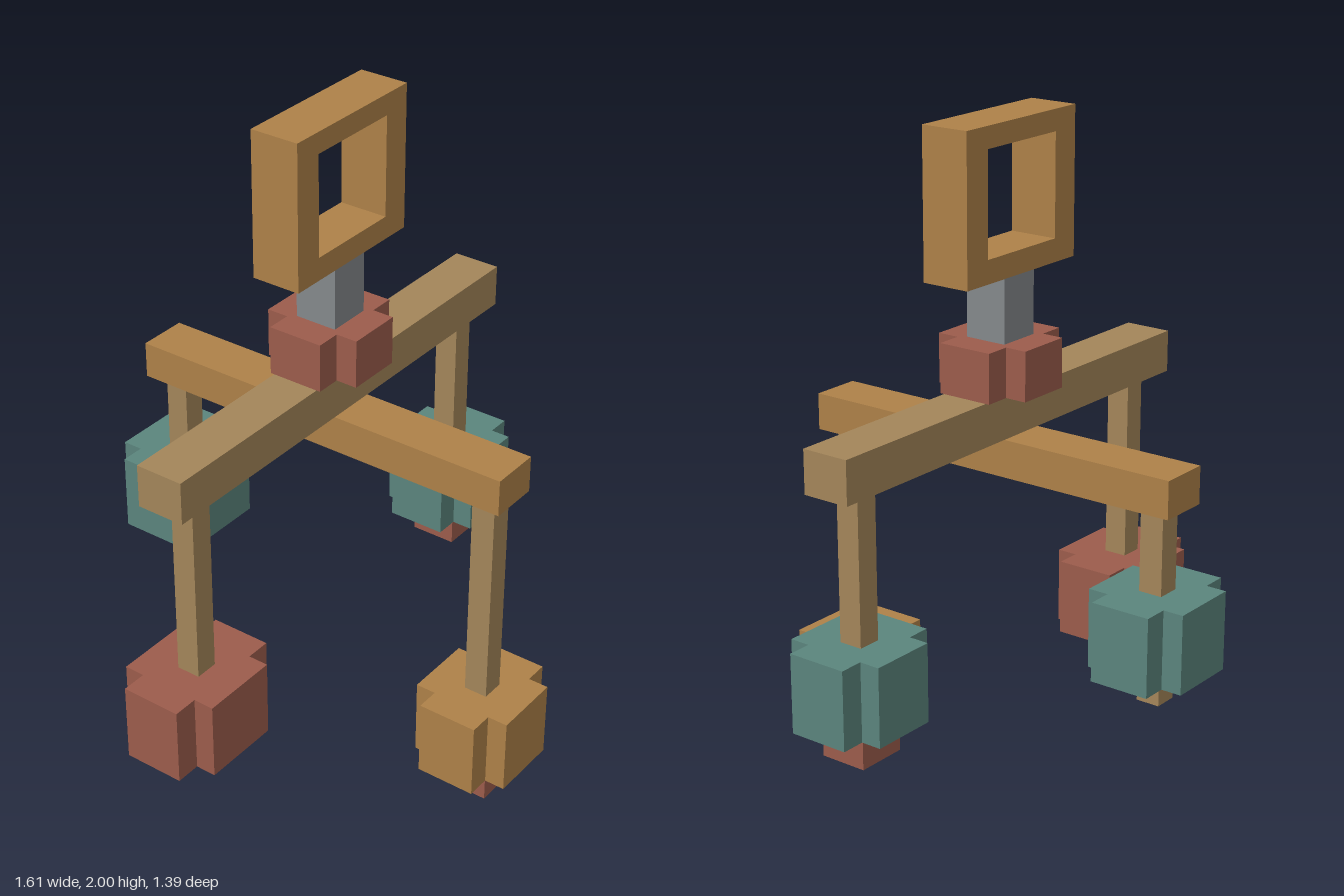
import * as THREE from 'three';

const flat = (name, color) => {
  const m = new THREE.MeshStandardMaterial({ color });
  m.name = name;
  return m;
};

export function createModel() {
  const ochre = flat('ochre', 0xae8148);
  const wood = flat('wood', 0xa4865a);
  const red = flat('brick red', 0x9c5c4c);
  const teal = flat('teal', 0x5b857d);
  const grey = flat('grey', 0x85898c);

  const model = new THREE.Group();
  model.name = 'hangingMobile';
  const CX = 0.007; // shared centre line

  const add = (parent, name, geometry, material, x, y, z) => {
    const mesh = new THREE.Mesh(geometry, material);
    mesh.name = name;
    mesh.position.set(x, y, z);
    parent.add(mesh);
  };

  // Box standing between two heights
  const box = (parent, name, material, x, z, w, d, y0, y1) =>
    add(parent, name, new THREE.BoxGeometry(w, y1 - y0, d), material, x, (y0 + y1) / 2, z);

  // Upright prism with a plus-shaped outline: w, d overall, iw, id the arm widths
  const plus = (parent, name, material, x, z, w, d, iw, id, y0, y1) => {
    const [a, b, c, e] = [w / 2, d / 2, iw / 2, id / 2];
    const outline = [
      [a, -e], [a, e], [c, e], [c, b], [-c, b], [-c, e],
      [-a, e], [-a, -e], [-c, -e], [-c, -b], [c, -b], [c, -e],
    ].map(([px, py]) => new THREE.Vector2(px, py));
    const geometry = new THREE.ExtrudeGeometry(new THREE.Shape(outline), { depth: y1 - y0, bevelEnabled: false });
    geometry.rotateX(-Math.PI / 2);
    add(parent, name, geometry, material, x, y0, z);
  };

  // Square hanging ring
  const rect = (path, x0, y0, x1, y1) =>
    path.moveTo(x0, y0).lineTo(x1, y0).lineTo(x1, y1).lineTo(x0, y1).closePath();
  const ringShape = rect(new THREE.Shape(), -0.241, 1.57, 0.241, 2);
  ringShape.holes.push(rect(new THREE.Path(), -0.151, 1.638, 0.151, 1.938));
  const ring = new THREE.ExtrudeGeometry(ringShape, { depth: 0.15, bevelEnabled: false });
  add(model, 'hangingRing', ring, ochre, CX, 0, -0.075);

  // Stem, collar and the two crossed beams
  box(model, 'stem', grey, CX, 0, 0.134, 0.13, 1.38, 1.57);
  plus(model, 'collar', red, CX, 0, 0.322, 0.302, 0.17, 0.17, 1.235, 1.38);
  box(model, 'crossBeam', wood, CX, 0, 1.478, 0.146, 1.108, 1.235);
  box(model, 'lowerBeam', ochre, CX, 0, 0.154, 1.24, 0.997, 1.108);

  // Four hanging weights; foot is the underside height of an optional red tip
  const weights = [
    { name: 'rightWeight', m: red, x: -0.612, z: 0, w: 0.392, iw: 0.24, y: 0.307, top: 1.108, end: 0.212 },
    { name: 'leftWeight', m: teal, x: 0.628, z: 0, w: 0.347, iw: 0.203, y: 0.437, top: 1.108, end: 0.42, foot: 0.338 },
    { name: 'frontWeight', m: ochre, x: CX, z: 0.546, w: 0.361, iw: 0.216, y: 0.101, top: 0.997, end: 0.084, foot: 0 },
    { name: 'backWeight', m: teal, x: CX, z: -0.542, w: 0.361, iw: 0.214, y: 0.517, top: 0.997, end: 0.423 },
  ];
  for (const { name, m, x, z, w, iw, y, top, end, foot } of weights) {
    const group = new THREE.Group();
    group.name = name;
    box(group, 'rod', wood, x, z, 0.071, 0.072, end, top);
    plus(group, 'weightBlock', m, x, z, w, 0.307, iw, 0.183, y, y + 0.234);
    if (foot !== undefined) box(group, 'tip', red, x, z, 0.153, 0.143, foot, end);
    model.add(group);
  }
  return model;
}
